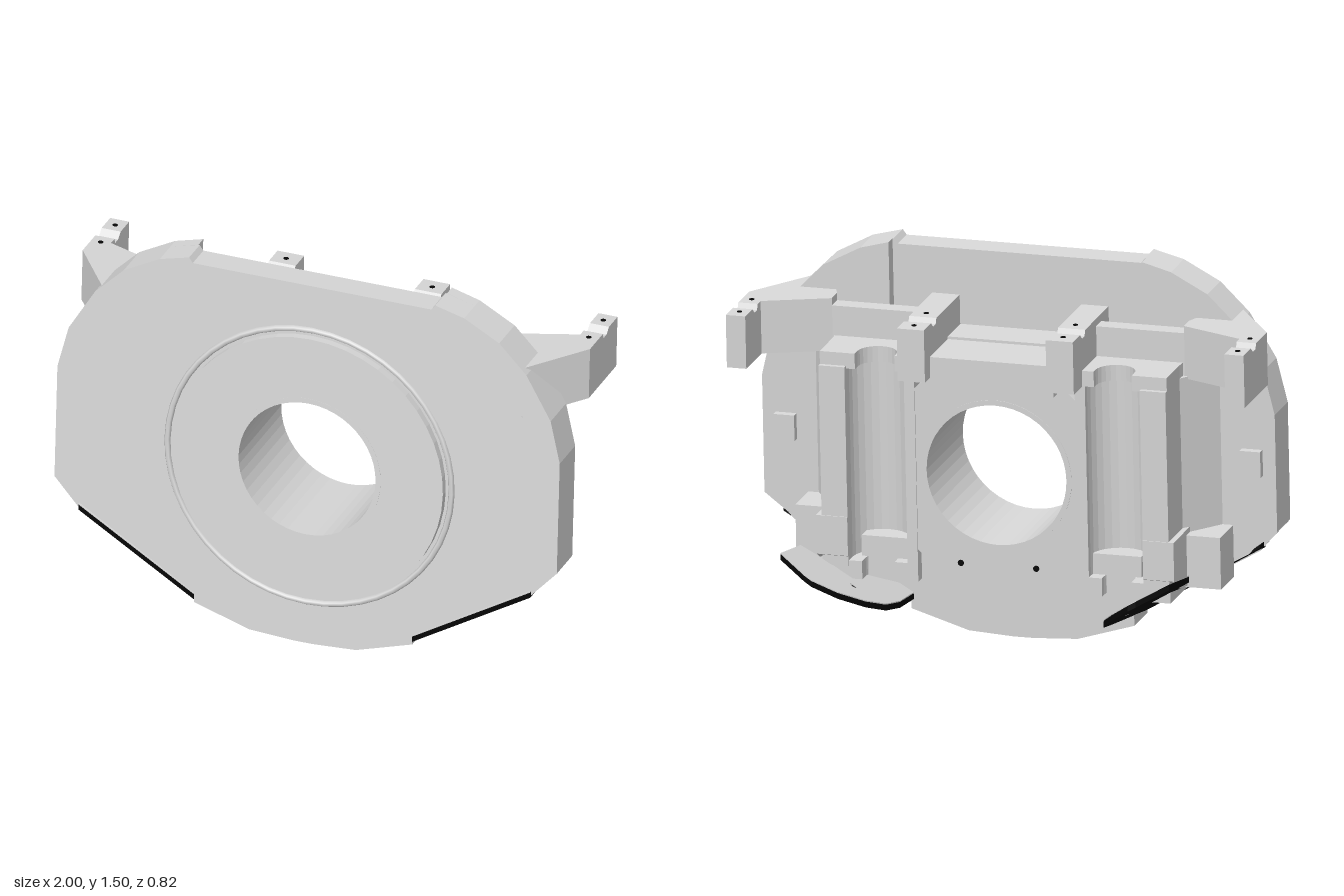
import * as THREE from 'three';

const CY = 0.717;      // bore centre height in the tilted frame
const BACK = -0.16;    // rear of the face plate

export function createModel() {
  const grey = new THREE.MeshStandardMaterial({ color: 0xd8d8d8 });
  grey.name = 'castGrey';
  const black = new THREE.MeshStandardMaterial({ color: 0x060606 });
  black.name = 'black';

  const model = new THREE.Group();
  model.name = 'housing';
  const body = new THREE.Group();   // leans back slightly
  body.name = 'body';
  body.rotation.x = -0.067;
  body.position.set(0, 0.015, 0.41);
  model.add(body);

  const add = (name, geo, mat = grey, parent = body) => {
    const m = new THREE.Mesh(geo, mat);
    m.name = name;
    parent.add(m);
    return m;
  };
  const shapeOf = (pts, holes = []) => {
    const s = new THREE.Shape(pts.map(p => new THREE.Vector2(p[0], p[1])));
    for (const [x, y, rx, ry = rx] of holes) {
      s.holes.push(new THREE.Path().absellipse(x, y, rx, ry, 0, Math.PI * 2, true));
    }
    return s;
  };
  const extrude = (shape, depth) =>
    new THREE.ExtrudeGeometry(shape, { depth, bevelEnabled: false, curveSegments: 24 });
  // outline in x,y between two depths
  const slab = (pts, z0, z1, holes) => extrude(shapeOf(pts, holes), z1 - z0).translate(0, 0, z0);
  // outline in x,z between two heights
  const column = (pts, y0, y1, holes) =>
    extrude(shapeOf(pts, holes), y1 - y0).rotateX(Math.PI / 2).translate(0, y1, 0);
  // outline in z,y between two x values
  const profile = (pts, x0, x1) =>
    extrude(shapeOf(pts), x1 - x0).rotateY(-Math.PI / 2).translate(x1, 0, 0);
  const box = (x0, x1, y0, y1, z0, z1) => new THREE.BoxGeometry(x1 - x0, y1 - y0, z1 - z0)
    .translate((x0 + x1) / 2, (y0 + y1) / 2, (z0 + z1) / 2);
  const circle = (r, n = 48, clampX = 9) => Array.from({ length: n }, (_, i) => {
    const a = i / n * Math.PI * 2;
    return [Math.max(-clampX, Math.min(clampX, r * Math.cos(a))), CY + r * Math.sin(a)];
  });
  const mirrorOutline = half => [...half, ...half.slice().reverse().map(([x, y]) => [-x, y])];

  // face plate: front layer with a ring groove, core, and rear layer with a top pocket;
  // the lower diagonal is cut back by "raise" behind the front layer to seat the fins
  const side = raise => [[0.6, 1.462], [0.74, 1.387], [0.85, 1.277], [0.95, 1.107], [0.99, 0.94],
    [0.99, 0.485], [0.9, 0.385 + raise], [0.88, 0.362 + raise], [0.43, 0.102 + raise],
    [0.43, 0.078], [0.21, 0.01], [0.04, 0]];
  const top = [[0.47, 1.472], [0.485, 1.492]];
  const screws = [];
  for (const x of [-0.835, 0.835]) for (const y of [0.515, 1.08]) screws.push([x, y, 0.024]);
  const linerSeat = [0, CY, 0.285];
  add('plateFront', slab(mirrorOutline([...top, ...side(0)]), -0.03, 0, [[0, CY, 0.585], ...screws]));
  add('plateCore', slab(mirrorOutline([...top, ...side(0.03)]), -0.11, -0.03, [linerSeat, ...screws]));
  add('plateRear', slab(mirrorOutline([[0.49, 1.17], [0.49, 1.492], ...side(0.03)]), BACK, -0.11,
    [linerSeat, ...screws]));
  add('frontDisc', slab(circle(0.535, 48), -0.03, 0, [linerSeat]));
  add('grooveRib', new THREE.TorusGeometry(0.56, 0.012, 6, 48).translate(0, CY, -0.025));
  add('boreLiner', slab(circle(0.29, 48), -0.442, 0.001, [[0, CY, 0.27]]));

  // central hub around the bore
  add('hub', slab(circle(0.44, 64, 0.35), -0.44, BACK, [linerSeat]));
  add('hubTop', box(-0.24, 0.24, 1.05, 1.17, -0.483, -0.11));
  add('hubBase', slab(mirrorOutline([[0.54, 0.43], [0.54, 0.28], [0.3, 0.24]]), -0.4, BACK));
  for (let i = 0; i < 8; i++) {
    const a = (i + 0.5) * Math.PI / 4;
    if (Math.abs(Math.cos(a)) > 0.8) continue;
    add('hubScrewHole', new THREE.CylinderGeometry(0.012, 0.012, 0.004, 12).rotateX(Math.PI / 2)
      .translate(0.38 * Math.cos(a), CY + 0.38 * Math.sin(a), -0.44), black);
  }

  // shelf behind the top of the plate
  add('shelf', box(-0.68, 0.68, 1.09, 1.18, -0.264, -0.105));

  // profile of the clamp rails, with a small dip in the top
  const rail = z0 => [[z0, 1.293], [z0, 1.09], [-0.548, 1.09], [-0.548, 1.293],
    [-0.46, 1.293], [-0.435, 1.272], [-0.405, 1.272], [-0.395, 1.293]];
  // half-round channel block, open to the rear, with an outer wall flaring to the plate
  const channel = (r, x0, z, flare) => {
    const pts = [[x0, BACK], [flare, BACK], [0.67, -0.3], [0.67, z], [0.46 + r, z]];
    for (let i = 0; i <= 12; i++) {
      const a = i / 12 * Math.PI;
      pts.push([0.46 + r * Math.cos(a), -0.42 + r * Math.sin(a)]);
    }
    return [...pts, [0.46 - r, -0.445], [x0, -0.445]];
  };
  const lowerBlock = [[BACK, 0.287], [-0.39, 0.315], [-0.477, 0.37], [-0.477, 0.52], [BACK, 0.52]];

  const finOutline = [[0.43, 0.405], [0.41, 0.04], [0.42, -0.1], [0.46, -0.22], [0.53, -0.34],
    [0.61, -0.41], [0.64, -0.405], [0.75, -0.345], [0.75, -0.1], [0.68, -0.08], [0.68, 0.23],
    [0.92, 0.23], [0.89, 0.39]];

  for (const s of [1, -1]) {
    const flip = pts => pts.map(([x, z]) => [x * s, z]);
    const span = (a, b) => s > 0 ? [a, b] : [-b, -a];
    const tag = s > 0 ? 'left' : 'right';

    // pillars with end lips
    add(tag + 'Pillar', column(flip(channel(0.11, 0.31, -0.473, 0.78)), 0.33, 1.1));
    add(tag + 'PillarTopLip', column(flip(channel(0.075, 0.24, -0.455, 0.68)), 1.09, 1.15));
    add(tag + 'PillarBottomLip', column(flip(channel(0.06, 0.31, -0.465, 0.68)), 0.28, 0.35));
    add(tag + 'LowerBlock', profile(lowerBlock, ...span(0.57, 0.69)));
    add(tag + 'LowerStep', box(...span(0.6, 0.82), 0.3, 0.5, -0.32, BACK));
    add(tag + 'PlateBlock', box(...span(0.86, 0.94), 0.7, 0.8, -0.19, BACK));

    // shelf rib, inner rail and outer arm
    add(tag + 'ShelfRib', box(...span(0.3, 0.72), 1.09, 1.265, -0.264, -0.2));
    add(tag + 'InnerRail', profile(rail(-0.11), ...span(0.235, 0.34)));
    add(tag + 'Arm', column(flip([[0.68, -0.2], [0.72, -0.1], [0.83, -0.02], [1, -0.264],
      [1, -0.36], [0.925, -0.36], [0.68, -0.264]]), 1.09, 1.293));
    add(tag + 'OuterRail', profile(rail(-0.34), ...span(0.925, 1)));
    for (const x of [0.288, 0.962]) for (const z of [-0.5, -0.35]) {
      add(tag + 'RailHole', new THREE.CylinderGeometry(0.01, 0.01, 0.004, 12)
        .translate(x * s, 1.293, z), black);
    }

    // slanted fin under the body: dark plate with a grey inner skin
    const fin = (y0, y1) => {
      const g = column(flip(finOutline), y0, y1,
        [[0.59 * s, 0.15, 0.07, 0.048], [0.53 * s, -0.15, 0.012]]);
      const p = g.attributes.position;
      for (let i = 0; i < p.count; i++) {
        p.setY(i, p.getY(i) + 0.105 + 0.6 * (Math.abs(p.getX(i)) - 0.43) + 0.12 * (0.4 - p.getZ(i)));
      }
      g.computeVertexNormals();
      return g;
    };
    add(tag + 'Fin', fin(0, 0.022), black, model);
    add(tag + 'FinInnerSkin', fin(0.022, 0.026), grey, model);
  }
  return model;
}
